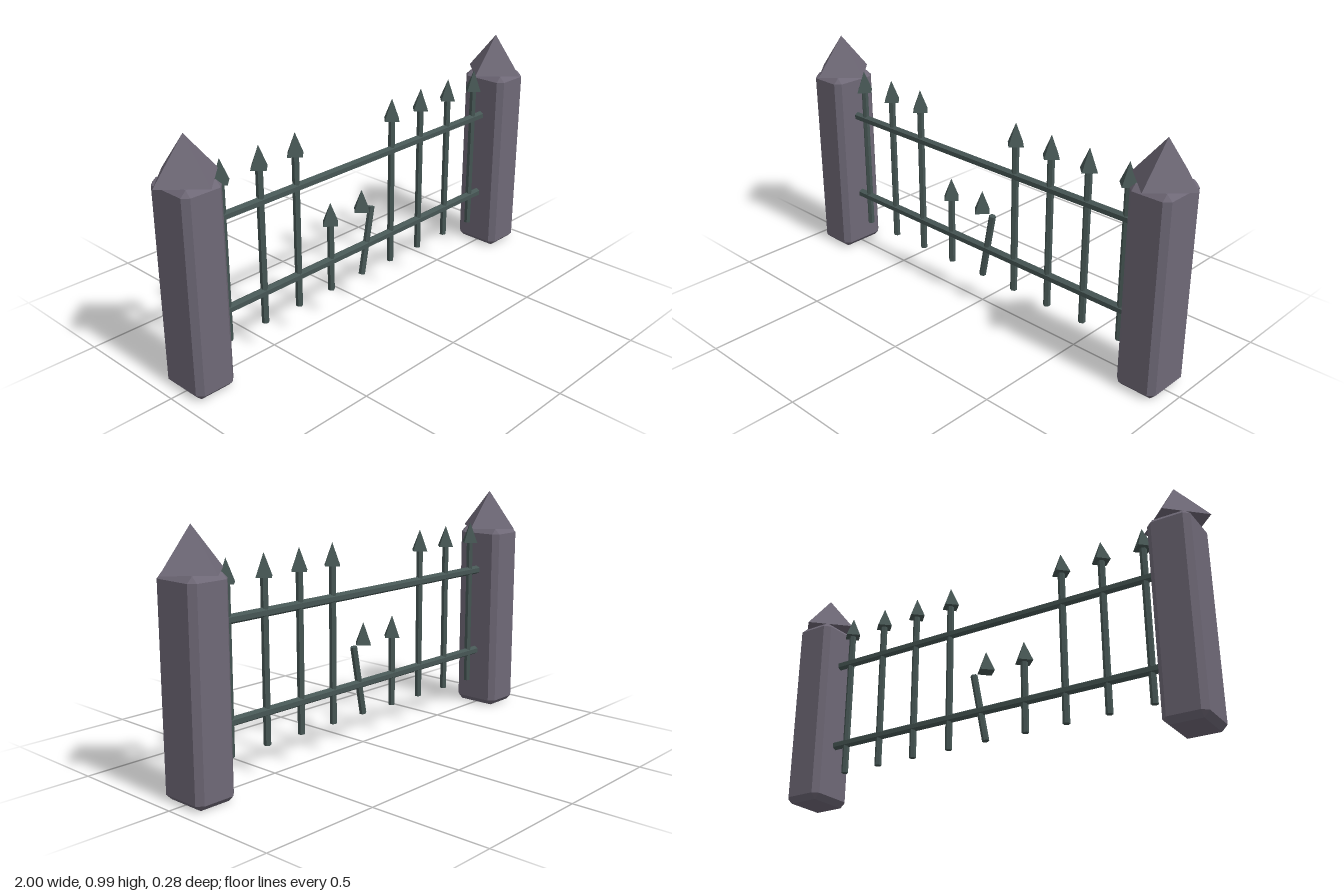
import * as THREE from 'three';
import { ConvexGeometry } from 'three/addons/geometries/ConvexGeometry.js';

const stone = new THREE.MeshStandardMaterial({ color: 0x6e6876, flatShading: true });
const iron = new THREE.MeshStandardMaterial({ color: 0x465654, flatShading: true });

function add(parent, name, geometry, material, x, y, z = 0) {
  const mesh = new THREE.Mesh(geometry, material);
  mesh.name = name;
  mesh.position.set(x, y, z);
  parent.add(mesh);
  return mesh;
}

// Box with every edge cut by a single chamfer
function chamferedBox(w, h, d, c) {
  const points = [];
  for (const sx of [-1, 1]) for (const sy of [-1, 1]) for (const sz of [-1, 1]) {
    const x = w / 2, y = h / 2, z = d / 2;
    for (const [px, py, pz] of [[x, y - c, z - c], [x - c, y, z - c], [x - c, y - c, z]]) {
      points.push(new THREE.Vector3(sx * px, sy * py, sz * pz));
    }
  }
  return new ConvexGeometry(points);
}

export function createModel() {
  const fence = new THREE.Group();
  fence.name = 'brokenFence';

  // Stone pillars with pyramid caps
  const pillarGeo = chamferedBox(0.174, 0.825, 0.21, 0.023);
  const capGeo = new THREE.ConeGeometry(0.138, 0.163, 4);
  for (const side of [-1, 1]) {
    const pillar = new THREE.Group();
    pillar.name = side > 0 ? 'leftPillar' : 'rightPillar';
    pillar.position.x = side * 0.862;
    add(pillar, 'pillarBody', pillarGeo, stone, 0, 0.4125);
    add(pillar, 'pillarCap', capGeo, stone, 0, 0.825 + 0.0815);
    fence.add(pillar);
  }

  // Horizontal rails
  const railGeo = new THREE.CylinderGeometry(0.019, 0.019, 1.6, 6);
  railGeo.rotateY(Math.PI / 6).rotateZ(Math.PI / 2);
  add(fence, 'upperRail', railGeo, iron, 0, 0.634);
  add(fence, 'lowerRail', railGeo, iron, 0, 0.255);

  // Vertical bars with spear tips; one is short, one is bent away from its tip
  const tipGeo = new THREE.ConeGeometry(0.042, 0.09, 4);
  const foot = 0.122;
  for (let i = -4; i <= 4; i++) {
    const x = i * 0.179 - 0.002;
    const top = i === -1 || i === 0 ? 0.42 : 0.766;
    const length = top - foot;
    const barGeo = new THREE.CylinderGeometry(0.0145, 0.0145, length, 6);
    const bar = add(fence, 'bar', barGeo, iron, x, foot + length / 2);
    if (i === 0) {
      bar.name = 'bentBar';
      bar.position.x = 0.028;
      bar.rotation.z = -0.19;
    }
    add(fence, 'spearTip', tipGeo, iron, x, top + 0.045);
  }
  return fence;
}
